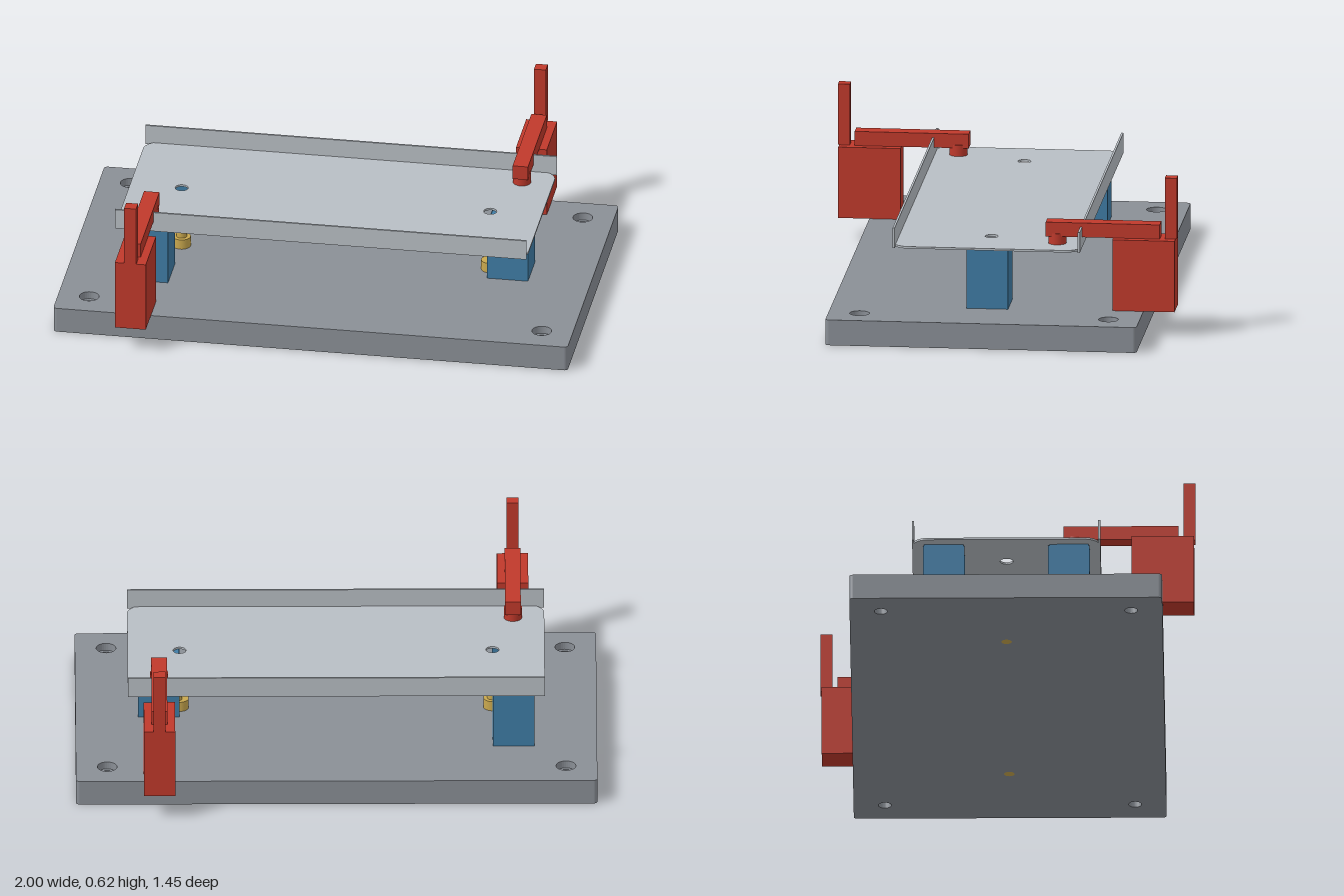
import * as THREE from 'three';

const mat = (name, color) => {
  const m = new THREE.MeshStandardMaterial({ color });
  m.name = name;
  return m;
};

// Rounded rectangle in plan with round holes given as [x, z, radius]
function plateGeometry(w, d, r, depth, holes) {
  const s = new THREE.Shape();
  const x = w / 2, y = d / 2;
  s.moveTo(-x + r, -y);
  s.lineTo(x - r, -y);
  s.absarc(x - r, -y + r, r, -Math.PI / 2, 0);
  s.lineTo(x, y - r);
  s.absarc(x - r, y - r, r, 0, Math.PI / 2);
  s.lineTo(-x + r, y);
  s.absarc(-x + r, y - r, r, Math.PI / 2, Math.PI);
  s.lineTo(-x, -y + r);
  s.absarc(-x + r, -y + r, r, Math.PI, Math.PI * 1.5);
  for (const [hx, hz, hr] of holes) {
    const h = new THREE.Path();
    h.absarc(hx, -hz, hr, 0, Math.PI * 2, true);
    s.holes.push(h);
  }
  const g = new THREE.ExtrudeGeometry(s, { depth, bevelEnabled: false, curveSegments: 16 });
  return g.rotateX(-Math.PI / 2);
}

export function createModel() {
  const model = new THREE.Group();
  model.name = 'clampingFixture';
  const grey = mat('base grey', 0x8a8f96);
  const sheet = mat('sheet metal', 0xb8bec4);
  const blue = mat('support blue', 0x3f7ca5);
  const red = mat('clamp red', 0xc0392b);
  const gold = mat('pin brass', 0xc9a84e);

  const add = (parent, name, geo, material, x, y, z) => {
    const m = new THREE.Mesh(geo, material);
    m.name = name;
    m.position.set(x, y, z);
    parent.add(m);
    return m;
  };
  // Box and cylinder placed by their bottom height
  const box = (p, name, m, [w, h, d], x, y, z) =>
    add(p, name, new THREE.BoxGeometry(w, h, d), m, x, y + h / 2, z);
  const cyl = (p, name, m, r, h, x, y, z) =>
    add(p, name, new THREE.CylinderGeometry(r, r, h, 32), m, x, y + h / 2, z);

  // Base plate: lower layer with through holes, upper layer with counterbores
  const corners = [[-1, -1], [1, -1], [1, 1], [-1, 1]];
  const bolts = (r) => corners.map(([sx, sz]) => [sx * 0.88, sz * 0.48, r]);
  const pinHoles = [[-0.6, 0, 0.02], [0.6, 0, 0.02]];
  add(model, 'baseLower', plateGeometry(2, 1.2, 0.015, 0.07, [...bolts(0.025), ...pinHoles]), grey, 0, 0, 0);
  add(model, 'baseUpper', plateGeometry(2, 1.2, 0.015, 0.03, [...bolts(0.038), ...pinHoles]), grey, 0, 0.07, 0);

  // Three support blocks, each with a slightly smaller top pad
  for (const [x, z] of [[-0.68, 0.24], [-0.68, -0.24], [0.68, 0]]) {
    box(model, 'supportBlock', blue, [0.16, 0.232, 0.16], x, 0.1, z);
    box(model, 'supportPad', blue, [0.15, 0.008, 0.15], x, 0.332, z);
  }

  // Locating pins: a round one and a flattened one
  for (const x of [-0.6, 0.6]) {
    const pin = new THREE.Group();
    pin.name = x < 0 ? 'roundPin' : 'flatPin';
    pin.position.x = x;
    cyl(pin, 'pinShank', gold, 0.02, 0.1, 0, 0, 0);
    cyl(pin, 'pinCollar', gold, 0.035, 0.04, 0, 0.1, 0);
    const tip = cyl(pin, 'pinTip', gold, 0.02, 0.07, 0, 0.14, 0);
    if (x > 0) tip.scale.x = 0.5;
    model.add(pin);
  }

  // Sheet metal channel held on the blocks
  const channel = new THREE.Group();
  channel.name = 'sheetChannel';
  add(channel, 'sheetPlate',
    plateGeometry(1.6, 0.72, 0.06, 0.008, [[-0.6, 0, 0.025], [0.6, 0, 0.025]]), sheet, 0, 0.34, 0);
  for (const s of [-1, 1]) {
    box(channel, 'sheetFlange', sheet, [1.6, 0.08, 0.008], 0, 0.34, s * 0.357);
  }
  model.add(channel);

  // Toggle clamps on opposite corners, the second turned half round
  for (const s of [1, -1]) {
    const clamp = new THREE.Group();
    clamp.name = s > 0 ? 'frontClamp' : 'backClamp';
    box(clamp, 'clampBody', red, [0.12, 0.28, 0.24], 0, 0.1, 0.6);
    box(clamp, 'clampArm', red, [0.06, 0.056, 0.44], 0, 0.38, 0.44);
    box(clamp, 'clampLever', red, [0.046, 0.24, 0.046], 0, 0.38, 0.702);
    cyl(clamp, 'clampTip', red, 0.035, 0.044, 0, 0.348, 0.262);
    clamp.position.x = -0.68 * s;
    clamp.rotation.y = s > 0 ? 0 : Math.PI;
    model.add(clamp);
  }
  return model;
}
